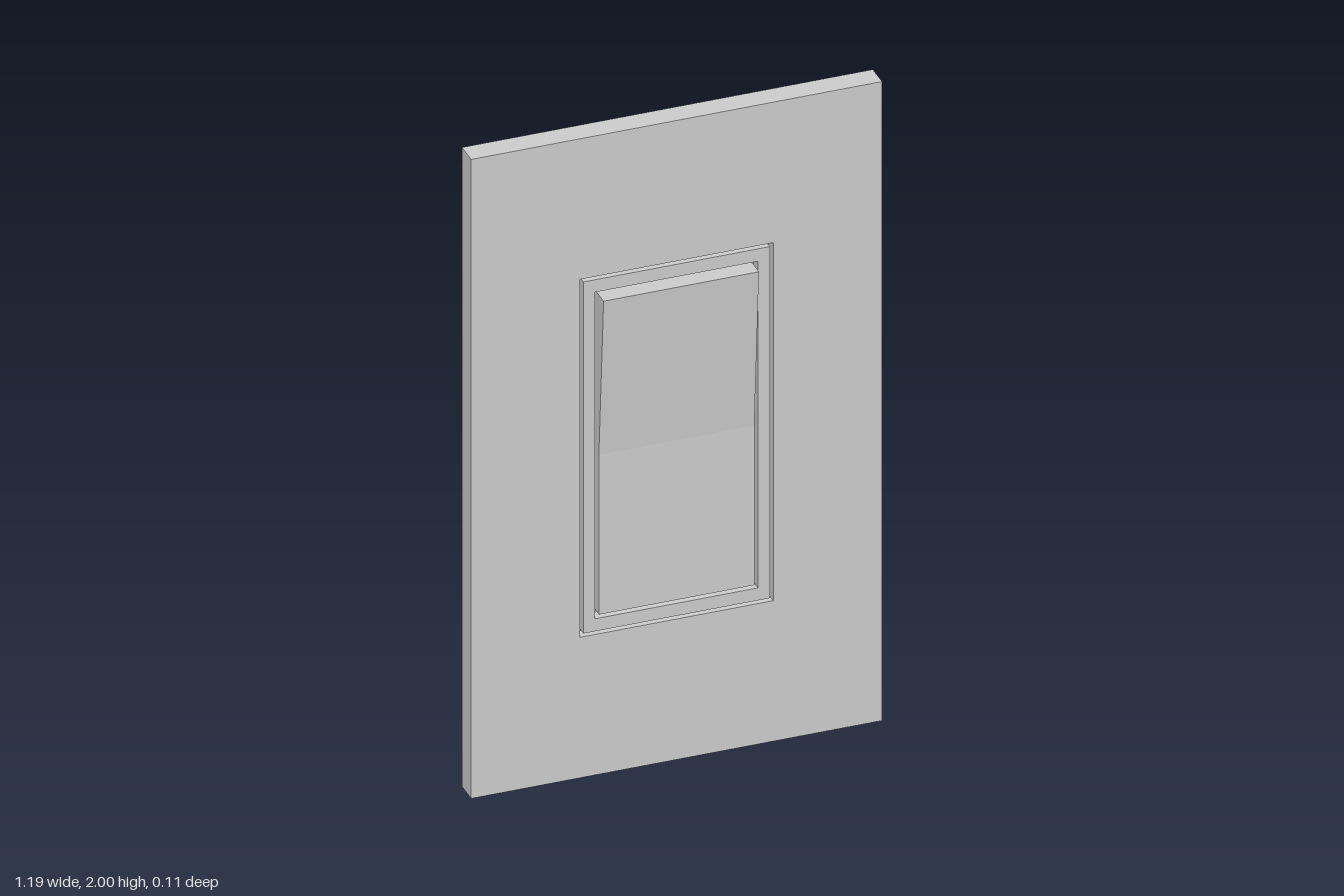
import * as THREE from 'three';

const BACK = -0.053, FLOOR = -0.018, FRONT = 0.017, PEAK = 0.053;
const MID = 1; // height of the centre

// Adds a closed rectangle, centred on the plate, to a shape or path
function rect(path, halfW, halfH) {
  path.moveTo(-halfW, MID - halfH);
  path.lineTo(halfW, MID - halfH);
  path.lineTo(halfW, MID + halfH);
  path.lineTo(-halfW, MID + halfH);
  path.closePath();
  return path;
}

// Rectangular ring standing on the groove floor, flush with the front
function ring(halfW, halfH, holeW, holeH) {
  const shape = rect(new THREE.Shape(), halfW, halfH);
  shape.holes.push(rect(new THREE.Path(), holeW, holeH));
  const geo = new THREE.ExtrudeGeometry(shape, { depth: FRONT - FLOOR, bevelEnabled: false });
  return geo.translate(0, 0, FLOOR);
}

export function createModel() {
  const group = new THREE.Group();
  const material = new THREE.MeshStandardMaterial({ color: 0xcccccc, flatShading: true });
  const add = (name, geometry) => {
    const mesh = new THREE.Mesh(geometry, material);
    mesh.name = name;
    group.add(mesh);
  };

  // Solid back of the wall plate, forming the floor of the grooves
  const back = new THREE.BoxGeometry(1.19, 2, FLOOR - BACK);
  add('backPlate', back.translate(0, MID, (BACK + FLOOR) / 2));

  // Face plate and inner frame, separated by a thin groove
  add('facePlate', ring(0.595, 1, 0.28, 0.56));
  add('switchFrame', ring(0.27, 0.55, 0.236, 0.511));

  // Rocker: flush lower half, upper half tilting out; side profile in (z, y)
  const halfW = 0.225;
  const profile = new THREE.Shape([
    [FLOOR, 0.5], [FRONT, 0.5], [FRONT, 1], [PEAK, 1.5], [FLOOR, 1.5],
  ].map(([z, y]) => new THREE.Vector2(z, y)));
  const rocker = new THREE.ExtrudeGeometry(profile, { depth: halfW * 2, bevelEnabled: false });
  add('rocker', rocker.translate(0, 0, -halfW).rotateY(-Math.PI / 2));

  return group;
}
